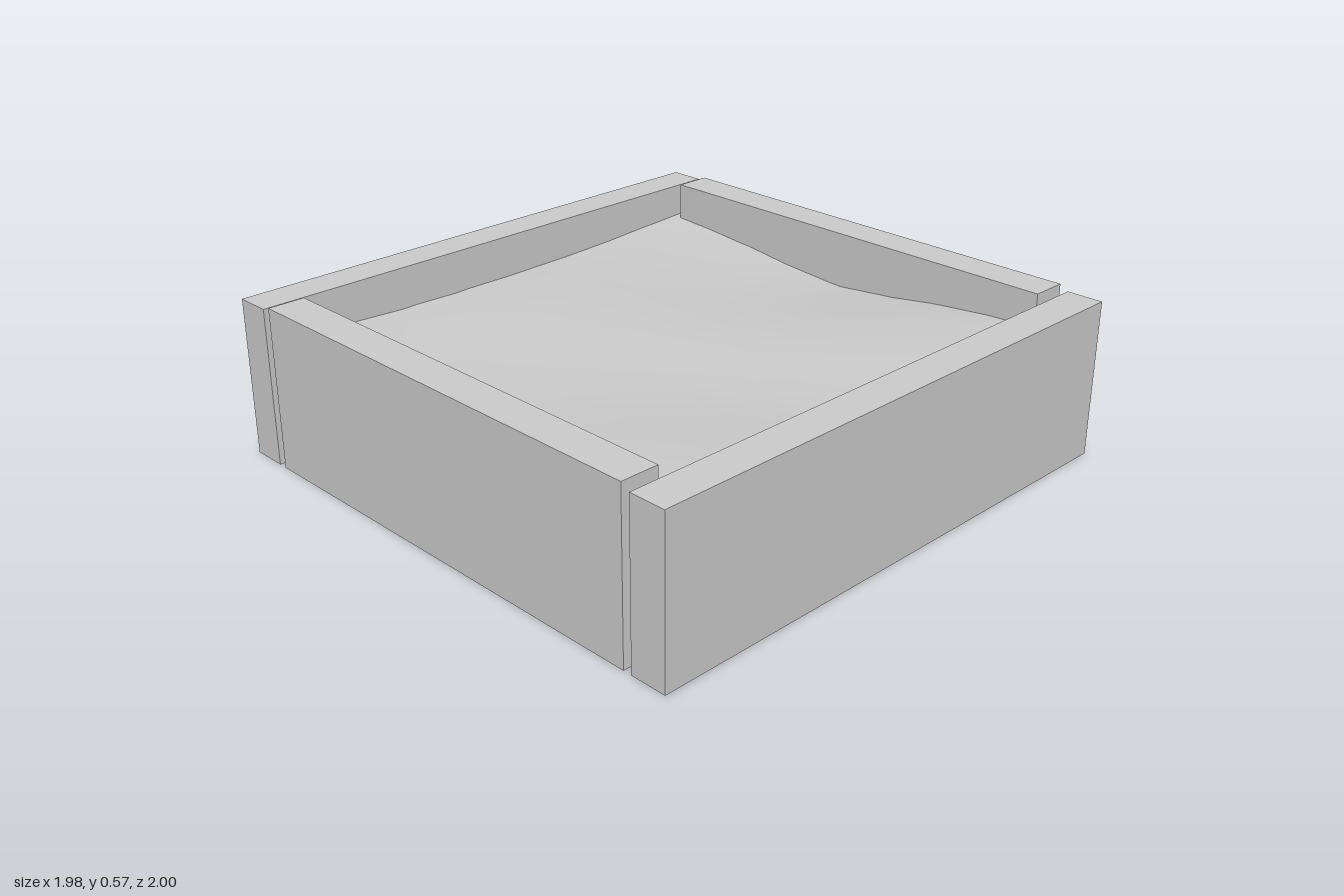
import * as THREE from 'three';
import { toCreasedNormals } from 'three/addons/utils/BufferGeometryUtils.js';

const HALF = 0.914; // half size of the filling, its edges sit inside the boards
const SEGMENTS = 8;

// Heights of the filling, rows from back to front, columns from -x to +x
const HEIGHTS = [
  [0.447, 0.413, 0.37, 0.428, 0.465],
  [0.42, 0.412, 0.4, 0.426, 0.43],
  [0.408, 0.418, 0.412, 0.385, 0.395],
  [0.415, 0.382, 0.38, 0.408, 0.424],
  [0.436, 0.392, 0.378, 0.408, 0.405],
];

// Smooth curve through evenly spaced values, t from 0 to 1
function spline(values, t) {
  return new THREE.SplineCurve(values.map((v, i) => new THREE.Vector2(i, v))).getPoint(t).y;
}

function heightAt(x, z) {
  const u = THREE.MathUtils.clamp((x + HALF) / (2 * HALF), 0, 1);
  const v = THREE.MathUtils.clamp((z + HALF) / (2 * HALF), 0, 1);
  return spline(HEIGHTS.map((row) => spline(row, u)), v);
}

export function createModel() {
  const group = new THREE.Group();
  const boardMaterial = new THREE.MeshStandardMaterial({ color: 0xcccccc });
  const fillMaterial = new THREE.MeshStandardMaterial({ color: 0xcccccc, side: THREE.DoubleSide });

  function add(name, geometry, material) {
    const mesh = new THREE.Mesh(geometry, material);
    mesh.name = name;
    group.add(mesh);
    return mesh;
  }

  // Boards of the frame: name, width, height, depth, x, z
  const boards = [
    ['rightBoard', 0.13, 0.562, 2, -0.927, 0],
    ['leftBoard', 0.13, 0.556, 2, 0.925, 0],
    ['frontBoard', 1.66, 0.575, 0.133, 0, 0.9335],
    ['backBoard', 1.66, 0.575, 0.133, 0, -0.932],
  ];
  for (const [name, w, h, d, x, z] of boards) {
    add(name, new THREE.BoxGeometry(w, h, d), boardMaterial).position.set(x, h / 2, z);
  }

  // Uneven top of the filling
  const top = new THREE.PlaneGeometry(2 * HALF, 2 * HALF, SEGMENTS, SEGMENTS).rotateX(-Math.PI / 2);
  const p = top.attributes.position;
  for (let i = 0; i < p.count; i++) p.setY(i, heightAt(p.getX(i), p.getZ(i)));
  top.computeVertexNormals();
  add('fillingSurface', top, fillMaterial);

  // Upright sides of the filling, open at the bottom
  for (let side = 0; side < 4; side++) {
    const wall = new THREE.PlaneGeometry(2 * HALF, 1, SEGMENTS, 1);
    wall.translate(0, 0.5, HALF).rotateY(side * Math.PI / 2);
    const w = wall.attributes.position;
    for (let i = 0; i < w.count; i++) {
      if (w.getY(i) > 0.5) w.setY(i, heightAt(w.getX(i), w.getZ(i)));
    }
    add('fillingSide' + (side + 1), toCreasedNormals(wall, 0.5), fillMaterial);
  }

  return group;
}
